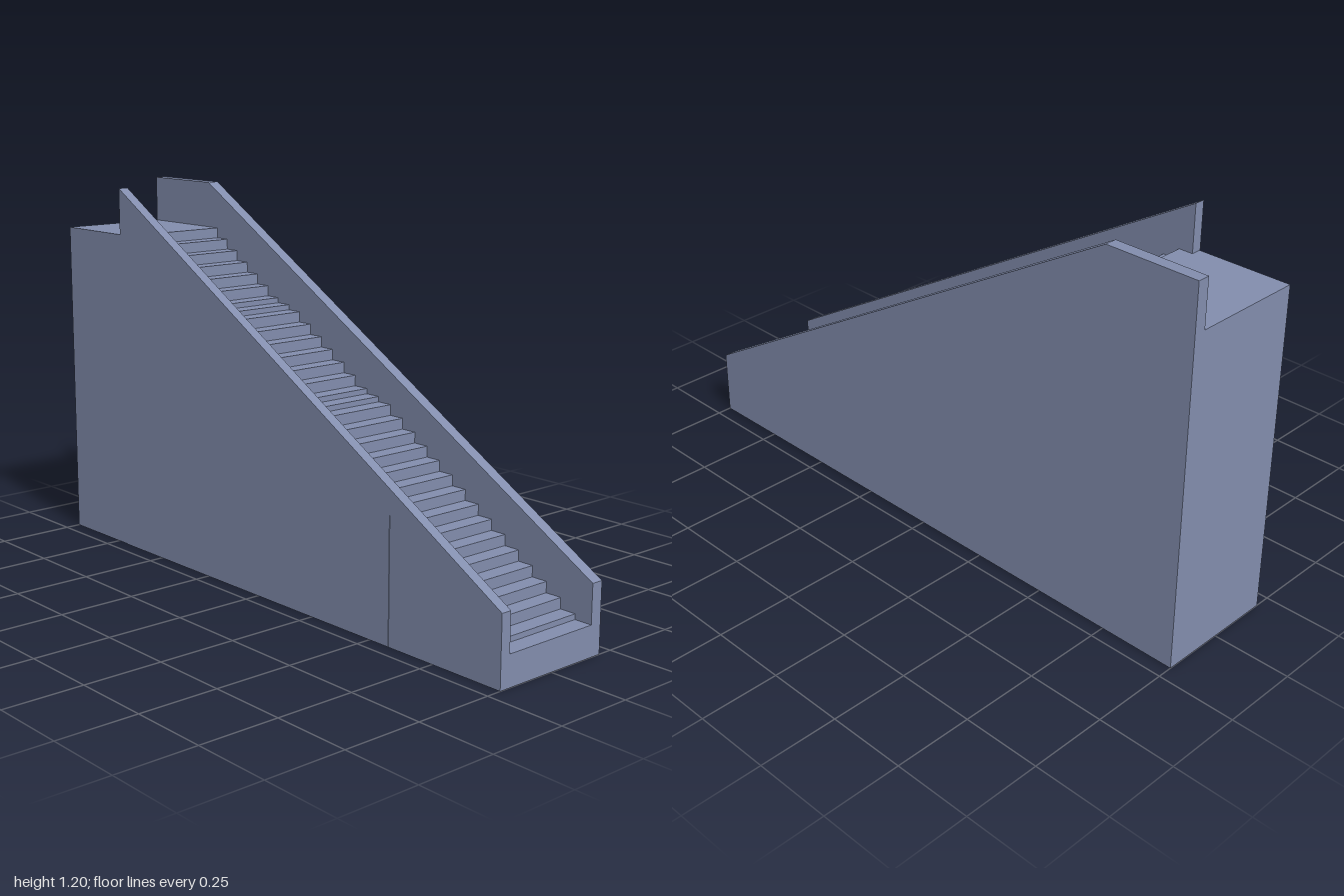
import * as THREE from 'three';

const material = new THREE.MeshStandardMaterial({ color: 0x828dad, flatShading: true });

// Extrudes a side profile of [z, y] points across the width from x0 to x1
function slab(name, profile, x0, x1) {
  const shape = new THREE.Shape(profile.map(([z, y]) => new THREE.Vector2(-z, y)));
  const geometry = new THREE.ExtrudeGeometry(shape, { depth: x1 - x0, bevelEnabled: false });
  geometry.rotateY(Math.PI / 2).translate(x0, 0, 0);
  const mesh = new THREE.Mesh(geometry, material);
  mesh.name = name;
  return mesh;
}

export function createModel() {
  const group = new THREE.Group();
  group.name = 'staircase';
  const innerLeft = 0.163, innerRight = -0.168, half = 0.202;
  const landingY = 1.05, wallEnd = -0.7;

  // Stair flight: even treads, with low risers where the flight sections meet
  const lowRisers = new Set([0, 15, 16, 23, 24]);
  const count = 31, tread = 0.0532, baseY = 0.095;
  const riser = (landingY - baseY) / (count - lowRisers.size / 2);
  const steps = [[1, 0], [1, baseY]];
  let y = baseY;
  for (let i = 0; i < count; i++) {
    const z = 0.942 - i * tread;
    steps.push([z, y]);
    y += lowRisers.has(i) ? riser / 2 : riser;
    steps.push([z, y]);
  }
  steps.push([-1, landingY], [-1, 0]);
  group.add(slab('stairFlight', steps, innerRight, innerLeft));

  // Left wall runs on past the landing to the back
  group.add(slab('leftWall',
    [[1, 0], [1, 0.215], [wallEnd, 1.2], [-1, 1.2], [-1, 0]], innerLeft, half));

  // Right wall stops at the landing and has a hairline joint near its foot
  group.add(slab('rightWall',
    [[1, 0], [1, 0.215], [wallEnd, 1.2], [wallEnd, 0],
      [0.576, 0], [0.576, 0.385], [0.578, 0.385], [0.578, 0]], -half, innerRight));

  // Landing reaches the open right side, set back slightly from the wall face
  group.add(slab('landingEdge',
    [[wallEnd, 0], [wallEnd, landingY], [-1, landingY], [-1, 0]], -0.2, innerRight));

  return group;
}
